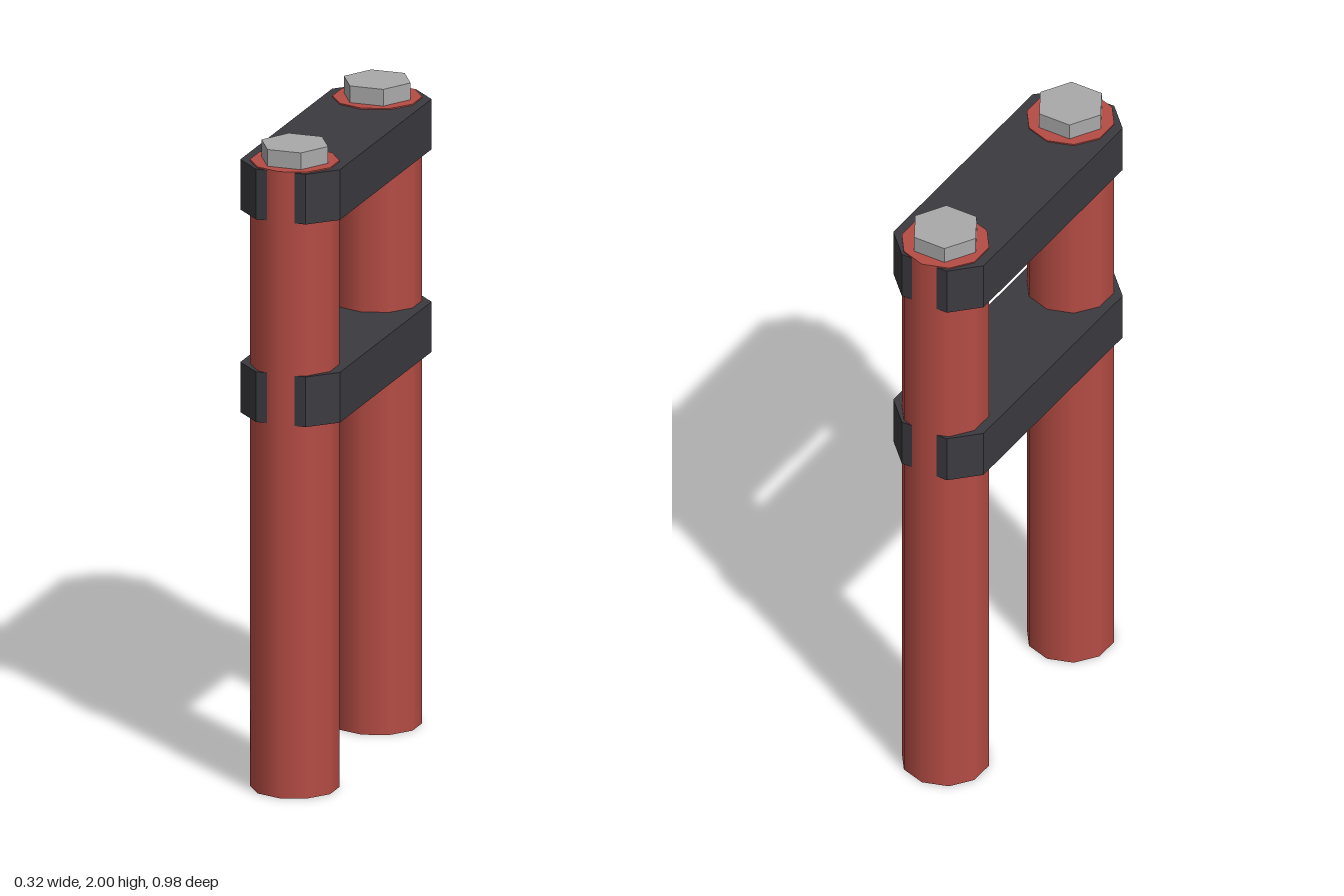
import * as THREE from 'three';

const red = new THREE.MeshStandardMaterial({ name: 'red paint', color: 0xb54c44 });
const dark = new THREE.MeshStandardMaterial({ name: 'dark grey', color: 0x3a3a40 });
const steel = new THREE.MeshStandardMaterial({ name: 'steel grey', color: 0xa9a9a9 });

const POST_Z = 0.355;
const POST_TOP = 1.948;

// Horizontal plate with chamfered corners, spanning both posts
function clampPlate(bottom, height) {
  const w = 0.158, l = 0.475, cw = 0.079, cl = 0.395;
  const outline = new THREE.Shape([
    [w, -cl], [w, cl], [cw, l], [-cw, l], [-w, cl], [-w, -cl], [-cw, -l], [cw, -l],
  ].map(([x, z]) => new THREE.Vector2(x, z)));
  const geometry = new THREE.ExtrudeGeometry(outline, { depth: height, bevelEnabled: false });
  geometry.rotateX(-Math.PI / 2);
  geometry.translate(0, bottom, 0);
  return new THREE.Mesh(geometry, dark);
}

// Ten-sided, smooth-shaded post
function post(z) {
  const mesh = new THREE.Mesh(new THREE.CylinderGeometry(0.134, 0.134, POST_TOP, 10), red);
  mesh.position.set(0, POST_TOP / 2, z);
  return mesh;
}

// Hexagonal bolt head with crisp faces, corners pointing sideways
function boltHead(z) {
  const height = 2 - POST_TOP;
  const geometry = new THREE.CylinderGeometry(0.106, 0.106, height, 6, 1, false, Math.PI / 2)
    .toNonIndexed();
  geometry.computeVertexNormals();
  const mesh = new THREE.Mesh(geometry, steel);
  mesh.position.set(0, POST_TOP + height / 2, z);
  return mesh;
}

export function createModel() {
  const model = new THREE.Group();
  model.name = 'twinPostFrame';
  const add = (name, mesh) => {
    mesh.name = name;
    model.add(mesh);
  };

  // Posts and their bolts, front and back
  for (const [side, z] of [['front', POST_Z], ['back', -POST_Z]]) {
    add(`${side}Post`, post(z));
    add(`${side}BoltHead`, boltHead(z));
  }

  // Two clamp plates
  add('upperPlate', clampPlate(1.788, 0.156));
  add('lowerPlate', clampPlate(1.158, 0.156));

  return model;
}
